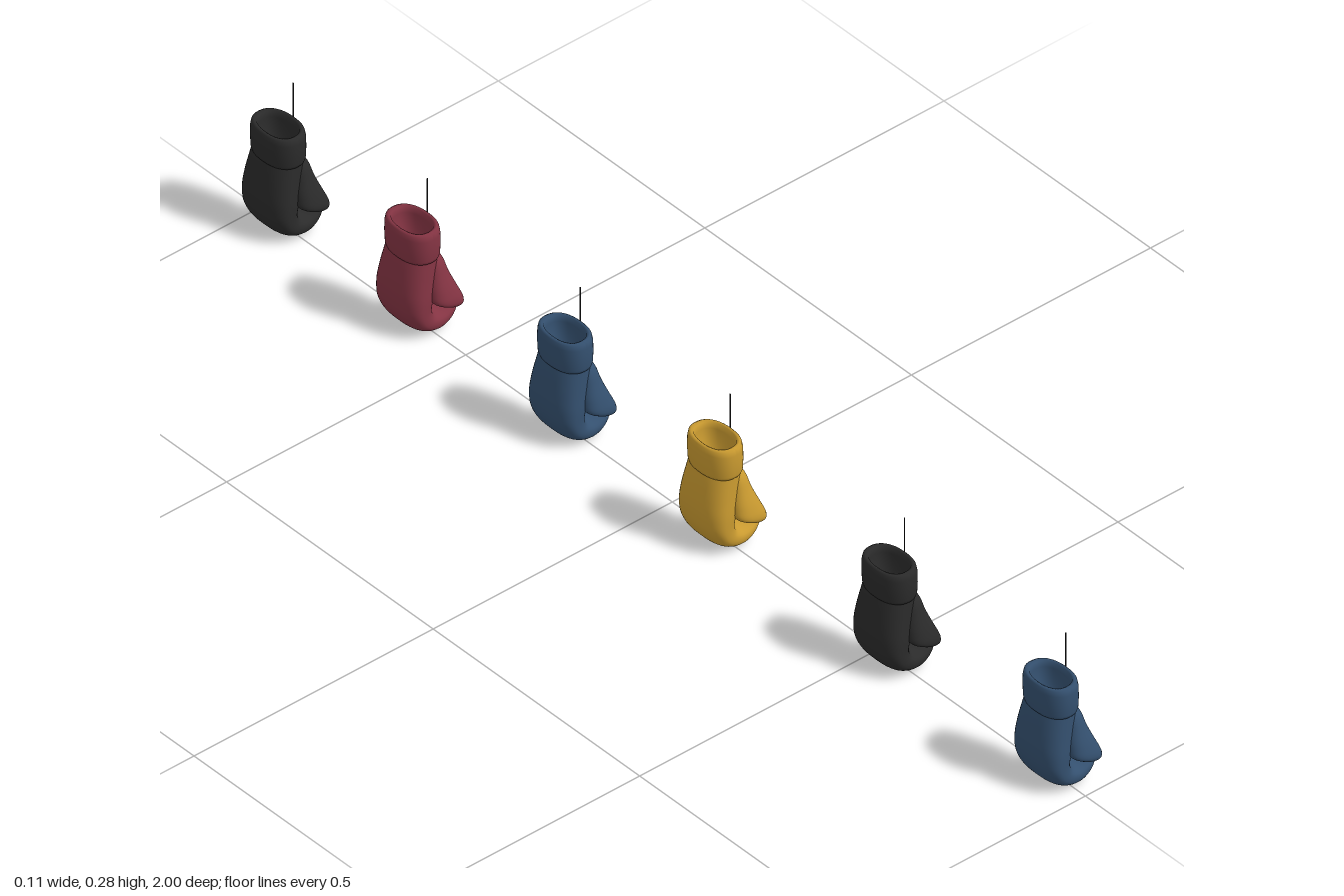
import * as THREE from 'three';

const paint = (name, color) => {
  const m = new THREE.MeshStandardMaterial({ color });
  m.name = name;
  return m;
};

// Rounded-square direction for an angle
const squircle = (t, n) => [Math.cos(t), Math.sin(t)].map(
  (v) => Math.sign(v) * Math.pow(Math.abs(v), 2 / n));

// Skin over sections [outerX, outerY, innerX, innerY, centreZ, halfWidthZ]
function padding(sections, power, rings = 44, sides = 36) {
  const outer = new THREE.CatmullRomCurve3(sections.map((s) => new THREE.Vector3(s[0], s[1], s[4])));
  const inner = new THREE.CatmullRomCurve3(sections.map((s) => new THREE.Vector3(s[2], s[3], s[5])));
  const pos = [], index = [];
  for (let j = 0; j <= rings; j++) {
    const a = outer.getPoint(j / rings), b = inner.getPoint(j / rings);
    for (let i = 0; i < sides; i++) {
      const [u, v] = squircle((i / sides) * Math.PI * 2, power);
      pos.push((a.x + b.x) / 2 + ((b.x - a.x) / 2) * u,
        (a.y + b.y) / 2 + ((b.y - a.y) / 2) * u, a.z + b.z * v);
      if (j === rings) continue;
      const k = (i + 1) % sides, r = j * sides, n = r + sides;
      index.push(r + i, r + k, n + i, r + k, n + k, n + i);
    }
  }
  const g = new THREE.BufferGeometry();
  g.setAttribute('position', new THREE.Float32BufferAttribute(pos, 3));
  g.setIndex(index);
  g.computeVertexNormals();
  return g;
}

// Hollow oval cuff
function cuffGeometry() {
  const profile = [[0.85, 0.151], [0.95, 0.154], [0.99, 0.16], [1.01, 0.18], [1, 0.2], [0.96, 0.209],
    [0.87, 0.212], [0.77, 0.21], [0.71, 0.2], [0.68, 0.153], [0, 0.153]];
  const g = new THREE.LatheGeometry(profile.map((p) => new THREE.Vector2(...p)), 48);
  const p = g.attributes.position;
  for (let i = 0; i < p.count; i++) {
    const r = Math.hypot(p.getX(i), p.getZ(i));
    const [u, v] = squircle(Math.atan2(p.getZ(i), p.getX(i)), 2.3);
    p.setXYZ(i, -0.013 + u * r * 0.0345, p.getY(i), -0.004 + v * r * 0.051);
  }
  g.computeVertexNormals();
  return g;
}

export function createModel() {
  const blue = paint('blue leather', 0x34506f);
  const black = paint('black leather', 0x2b2b2b);
  const gold = paint('gold leather', 0xc99a30);
  const red = paint('red leather', 0x843443);
  const cord = paint('dark cord', 0x222222);

  // Hand padding, from the wrist down and round to the curled fingertips
  const hand = padding([
    [-0.043, 0.158, 0.018, 0.158, -0.006, 0.046],
    [-0.047, 0.140, 0.018, 0.140, -0.007, 0.048],
    [-0.052, 0.108, 0.015, 0.108, -0.009, 0.052],
    [-0.054, 0.075, 0.008, 0.078, -0.010, 0.055],
    [-0.050, 0.044, 0.001, 0.056, -0.010, 0.055],
    [-0.035, 0.017, 0.003, 0.044, -0.010, 0.055],
    [-0.012, 0.003, 0.012, 0.039, -0.010, 0.054],
    [0.013, 0.001, 0.022, 0.039, -0.010, 0.053],
    [0.035, 0.009, 0.032, 0.042, -0.010, 0.050],
    [0.049, 0.022, 0.040, 0.046, -0.010, 0.045],
    [0.053, 0.034, 0.046, 0.047, -0.010, 0.037],
    [0.050, 0.042, 0.050, 0.042, -0.010, 0.024],
  ], 2.5, 55);

  // Thumb padding, leaning forward and over the fingertips
  const thumb = padding([
    [0.000, 0.156, 0.014, 0.156, 0.020, 0.008],
    [-0.006, 0.140, 0.021, 0.140, 0.024, 0.016],
    [-0.010, 0.115, 0.026, 0.118, 0.030, 0.019],
    [-0.013, 0.090, 0.036, 0.090, 0.038, 0.021],
    [-0.012, 0.072, 0.045, 0.067, 0.043, 0.021],
    [0.002, 0.061, 0.047, 0.056, 0.044, 0.018],
    [0.020, 0.052, 0.045, 0.050, 0.044, 0.012],
    [0.034, 0.047, 0.034, 0.047, 0.044, 0.000],
  ], 2.3, 35, 28);

  const cuff = cuffGeometry();
  const string = new THREE.CylinderGeometry(0.0011, 0.0011, 0.125, 8).translate(0.02, 0.2135, -0.006);
  const loopPath = new THREE.CatmullRomCurve3([
    [0.021, 0.154, -0.006], [0.0185, 0.135, 0.001], [0.0165, 0.119, -0.002],
    [0.0165, 0.119, -0.010], [0.0185, 0.135, -0.013],
  ].map((p) => new THREE.Vector3(...p)), true);
  const loop = new THREE.TubeGeometry(loopPath, 40, 0.0014, 6, true);

  // Row of hanging gloves
  const model = new THREE.Group();
  model.name = 'gloveRow';
  const row = [[0.935, blue], [0.545, black], [0.123, gold], [-0.24, blue], [-0.61, red], [-0.935, black]];
  row.forEach(([z, leather], n) => {
    const glove = new THREE.Group();
    glove.name = `glove${n + 1}`;
    glove.position.z = z;
    const add = (name, geometry, material) => {
      const mesh = new THREE.Mesh(geometry, material);
      mesh.name = name;
      glove.add(mesh);
    };
    add('hand', hand, leather);
    add('thumb', thumb, leather);
    add('cuff', cuff, leather);
    add('hangingString', string, cord);
    add('laceLoop', loop, cord);
    model.add(glove);
  });
  return model;
}
